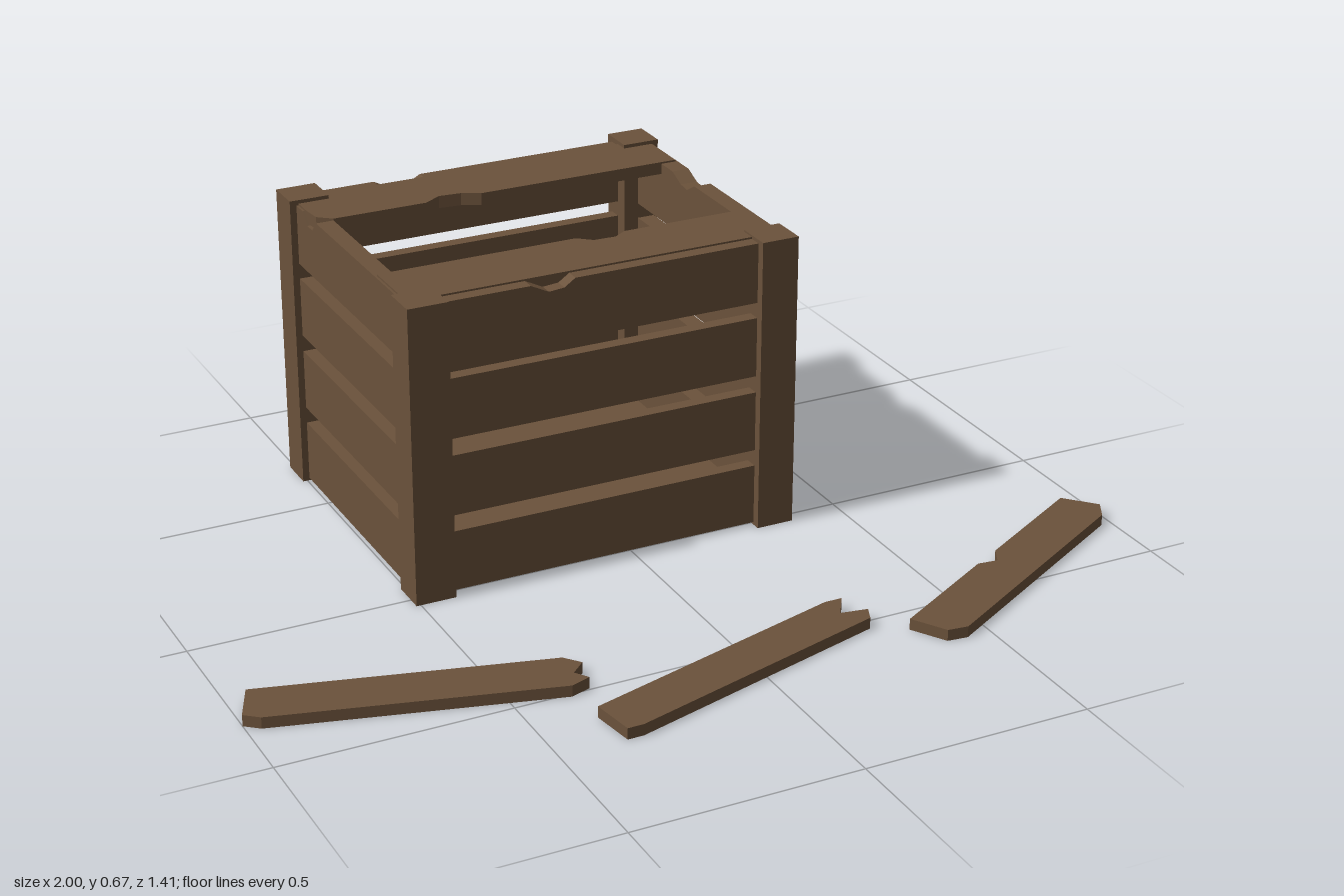
import * as THREE from 'three';

export function createModel() {
  const model = new THREE.Group();
  model.name = 'brokenCrate';
  const wood = new THREE.MeshStandardMaterial({ color: 0x6b523b });
  wood.name = 'brown wood';

  const add = (name, geometry, x = 0, y = 0, z = 0) => {
    const mesh = new THREE.Mesh(geometry, wood);
    mesh.name = name;
    mesh.position.set(x, y, z);
    model.add(mesh);
  };
  // Box given by its lower and upper limits
  const block = (name, x0, x1, y0, y1, z0, z1) =>
    add(name, new THREE.BoxGeometry(x1 - x0, y1 - y0, z1 - z0),
      (x0 + x1) / 2, (y0 + y1) / 2, (z0 + z1) / 2);
  const extrude = (points, depth) => new THREE.ExtrudeGeometry(
    new THREE.Shape(points.map(([a, b]) => new THREE.Vector2(a, b))),
    { depth, bevelEnabled: false });
  // Flat board from an outline in x and z
  const board = (name, outline, y, thickness) => {
    const g = extrude(outline.map(([x, z]) => [x, -z]), thickness);
    g.rotateX(-Math.PI / 2);
    add(name, g, 0, y, 0);
  };

  // Corner posts
  for (const [x0, x1] of [[-0.51, -0.42], [0.295, 0.38]]) {
    for (const [z0, z1] of [[-0.71, -0.627], [-0.055, 0.03]]) {
      block('cornerPost', x0, x1, 0, z0 < -0.5 ? 0.672 : 0.668, z0, z1);
    }
  }

  // Floor
  block('floor', -0.49, 0.365, 0.006, 0.03, -0.685, 0.005);

  // Wall slats: the topmost on each wall is chipped
  const rows = [[0.006, 0.143], [0.18, 0.317], [0.355, 0.49], [0.525, 0.66]];
  const chips = {
    front: [[-0.13, 0.66], [-0.155, 0.643], [-0.19, 0.64], [-0.23, 0.66]],
    back: [[-0.18, 0.66], [-0.21, 0.643], [-0.25, 0.64], [-0.29, 0.66]],
    right: [[-0.35, 0.66], [-0.385, 0.64], [-0.415, 0.643], [-0.455, 0.66]],
    left: [[-0.51, 0.66], [-0.535, 0.635], [-0.565, 0.635], [-0.59, 0.66]],
  };
  rows.forEach(([y0, y1], i) => {
    const outline = (a, b, side) =>
      [[a, y0], [b, y0], [b, y1], ...(i === 3 ? chips[side] : []), [a, y1]];
    add('frontSlat', extrude(outline(-0.44, 0.32, 'front'), 0.03), 0, 0, -0.02);
    add('backSlat', extrude(outline(-0.44, 0.32, 'back'), 0.03), 0, 0, -0.69);
    for (const [side, x] of [['left', -0.455], ['right', 0.37]]) {
      const g = extrude(outline(-0.66, -0.02, side), 0.04);
      g.rotateY(-Math.PI / 2);
      add(side + 'Slat', g, x, 0, 0);
    }
  });

  // Remaining lid boards with chipped inner edges
  board('frontLidBoard', [
    [-0.49, -0.02], [0.365, -0.02], [0.365, -0.17], [0.07, -0.17], [0.04, -0.15],
    [-0.01, -0.152], [-0.04, -0.178], [-0.49, -0.178],
  ], 0.636, 0.028);
  board('backLidBoard', [
    [-0.42, -0.66], [0.365, -0.66], [0.365, -0.51], [-0.11, -0.51], [-0.15, -0.53],
    [-0.2, -0.535], [-0.24, -0.51], [-0.455, -0.51], [-0.485, -0.535],
    [-0.49, -0.58], [-0.49, -0.66],
  ], 0.636, 0.028);

  // Broken boards lying in front
  board('looseBoardLeft', [
    [-0.96, 0.24], [-0.35, 0.4], [-0.322, 0.435], [-0.355, 0.465], [-0.335, 0.495],
    [-0.38, 0.51], [-0.97, 0.355], [-1, 0.33],
  ], 0, 0.025);
  board('looseBoardMiddle', [
    [-0.37, 0.605], [0.235, 0.43], [0.275, 0.43], [0.24, 0.485], [0.3, 0.495],
    [0.285, 0.53], [-0.32, 0.705], [-0.355, 0.705],
  ], 0, 0.025);
  board('looseBoardRight', [
    [0.355, 0.57], [0.61, 0.425], [0.655, 0.43], [0.675, 0.39], [0.94, 0.24],
    [1, 0.305], [0.975, 0.35], [0.445, 0.65], [0.4, 0.645],
  ], 0, 0.025);

  return model;
}
